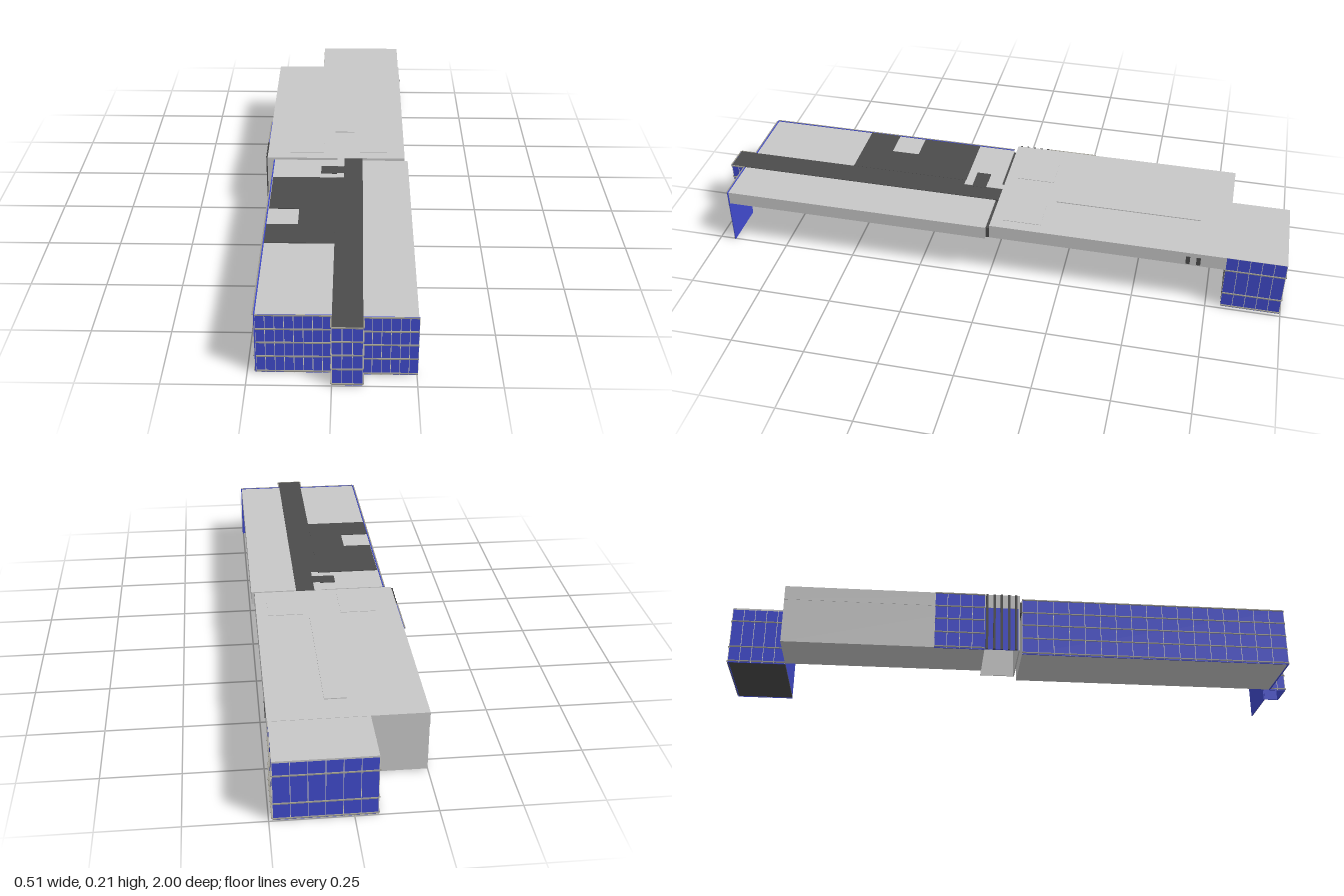
import * as THREE from 'three';

const mat = (name, hex) => {
  const m = new THREE.MeshStandardMaterial({ color: hex, side: THREE.DoubleSide });
  m.name = name;
  return m;
};

export function createModel() {
  const model = new THREE.Group();
  const grey = mat('concreteGrey', 0xc8c8c8);
  const dark = mat('roofDark', 0x4c4c4c);
  const blue = mat('glassBlue', 0x404acc);
  const frame = mat('mullionLight', 0xd6d4cc);
  const rail = mat('railGrey', 0x9c9a90);

  // box given by its limits on each axis
  const box = (name, material, x0, x1, y0, y1, z0, z1, parent = model) => {
    const mesh = new THREE.Mesh(new THREE.BoxGeometry(x1 - x0, y1 - y0, z1 - z0), material);
    mesh.position.set((x0 + x1) / 2, (y0 + y1) / 2, (z0 + z1) / 2);
    mesh.name = name;
    parent.add(mesh);
    return mesh;
  };

  // glazed wall running along local x, outside towards local +z
  const H = 0.208;
  const glassWall = (name, ax, az, bx, bz, step = 0.027, rails = [0.006, 0.06, 0.11, 0.158, 0.207]) => {
    const g = new THREE.Group();
    g.name = name;
    const len = Math.hypot(bx - ax, bz - az);
    box('glass', blue, 0, len, 0, H, -0.003, 0, g);
    const n = Math.max(1, Math.round(len / step));
    for (let i = 0; i <= n; i++) {
      const x = (i * len) / n;
      box('mullion', frame, Math.max(0, x - 0.0009), Math.min(len, x + 0.0009), 0, H, 0, 0.001, g);
    }
    for (const y of rails) box('rail', rail, 0, len, y - 0.0018, y + 0.0018, 0, 0.004, g);
    g.position.set(ax, 0, az);
    g.rotation.y = Math.atan2(-(bz - az), bx - ax);
    model.add(g);
  };

  // front half: full-height left wing and raised right wing
  box('frontWestWing', grey, -0.222, 0, 0.002, 0.207, 0.01, 0.935);
  box('frontEastSlab', grey, 0.09, 0.25, 0.16, 0.207, 0.012, 0.942);
  box('corridorRoof', dark, 0, 0.09, 0.202, 0.209, 0, 0.995);

  // dark roof areas laid around light openings
  const patches = [
    [-0.22, 0, 0.14, 0.35], [-0.12, 0, 0.35, 0.45],
    [-0.222, 0, 0.45, 0.56], [-0.055, 0.03, 0.06, 0.11],
  ];
  for (const [x0, x1, z0, z1] of patches) box('darkRoofPatch', dark, x0, x1, 0.207, 0.2095, z0, z1);
  box('lightRoofPatch', grey, 0, 0.025, 0.209, 0.2105, 0.0, 0.06);
  box('lightRoofPatch', grey, 0, 0.025, 0.209, 0.2105, 0.11, 0.14);

  // front glazing with projecting corridor bay
  glassWall('frontWestGlass', -0.222, 0.939, 0, 0.939);
  glassWall('bayWestGlass', 0, 0.939, 0, 0.996);
  glassWall('bayFrontGlass', 0, 0.996, 0.09, 0.996);
  glassWall('bayEastGlass', 0.09, 0.996, 0.09, 0.946);
  glassWall('frontEastGlass', 0.09, 0.946, 0.253, 0.946);
  glassWall('westSideGlass', -0.226, 0.01, -0.226, 0.939, 0.054);

  // back half: wide roof slab over a full-height left wing
  box('backRoofSlab', grey, -0.25, 0.24, 0.16, 0.21, -0.8, 0);
  box('backCeiling', dark, -0.07, 0.232, 0.155, 0.16, -0.8, -0.005);
  box('backWestWing', grey, -0.249, -0.07, 0.003, 0.16, -0.8, -0.12);
  box('courtFrontWall', grey, -0.25, -0.03, 0.003, 0.2, -0.004, 0);
  box('courtInnerWall', grey, -0.034, -0.03, 0.003, 0.16, -0.12, -0.004);
  box('roofJoint', dark, -0.22, 0.24, 0.16, 0.2, 0, 0.012);

  // low pads on the back roof
  box('roofPad', grey, -0.01, 0.06, 0.21, 0.213, -0.7, -0.2);
  box('roofPad', grey, -0.17, -0.05, 0.21, 0.2115, -0.17, -0.04);
  box('roofPad', grey, 0.08, 0.2, 0.21, 0.2115, -0.17, -0.04);

  // small openings in the slab edge
  for (const z of [-0.675, -0.71]) box('edgeOpening', dark, 0.24, 0.242, 0.165, 0.195, z - 0.007, z + 0.007);

  // left side glazing and fins near the middle
  glassWall('westBackGlass', -0.252, -0.29, -0.252, -0.12, 0.04);
  box('finBackGlass', blue, -0.249, -0.246, 0.003, 0.2, -0.12, -0.004);
  for (let i = 0; i < 5; i++) {
    const z = -0.112 + i * 0.025;
    box('fin', dark, -0.255, -0.249, 0.003, 0.21, z - 0.004, z + 0.004);
  }

  // rear block, open towards the covered space
  box('rearRoof', grey, -0.07, 0.238, 0.203, 0.209, -0.997, -0.8);
  box('rearFloor', dark, -0.068, 0.236, 0.002, 0.008, -0.995, -0.8);
  const rearRails = [0.006, 0.06, 0.158];
  glassWall('rearGlass', 0.238, -0.996, -0.07, -0.996, 0.05, rearRails);
  glassWall('rearEastGlass', 0.238, -0.8, 0.238, -0.996, 0.04, rearRails);
  glassWall('rearWestGlass', -0.07, -0.996, -0.07, -0.8, 0.04, rearRails);

  return model;
}
